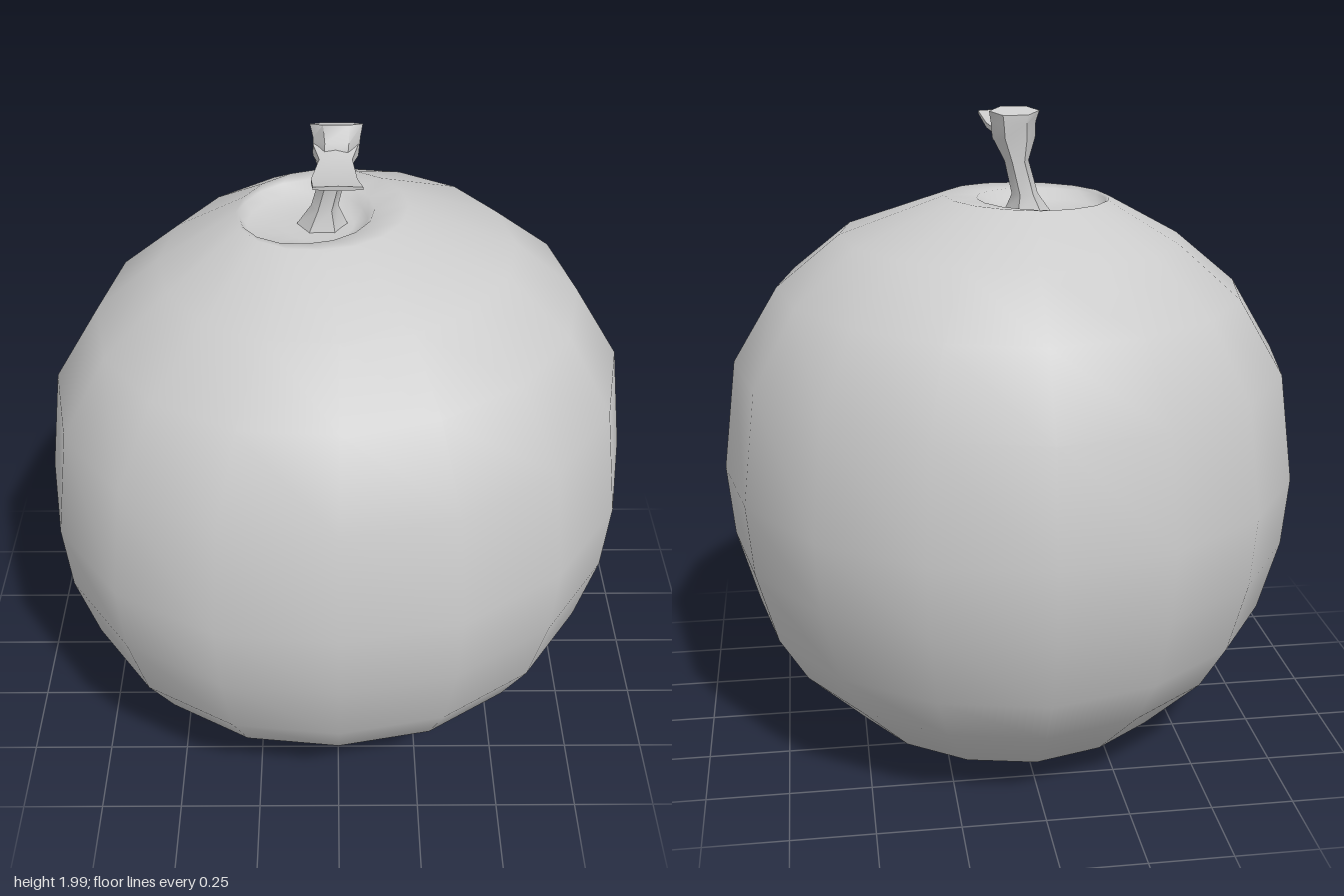
import * as THREE from 'three';
import { mergeVertices, toCreasedNormals } from 'three/addons/utils/BufferGeometryUtils.js';

const grey = new THREE.MeshStandardMaterial({ color: 0xcccccc });

// Sixteen-sided lathe, slightly skewed so the fruit is not perfectly regular
function makeFruit() {
  const profile = [
    [0, 0.01], [0.17, 0.02], [0.54, 0.085], [0.735, 0.28], [0.825, 0.43], [0.89, 0.66],
    [0.91, 0.88], [0.865, 1.22], [0.725, 1.45], [0.53, 1.61], [0.255, 1.732],
    [0.2, 1.722], [0.18, 1.69], [0.1, 1.675], [0, 1.69],
  ].map(([r, y]) => new THREE.Vector2(r, y));
  let geo = new THREE.LatheGeometry(profile, 16);
  geo.deleteAttribute('uv');
  geo.deleteAttribute('normal');
  const p = geo.attributes.position;
  for (let i = 0; i < p.count; i++) {
    const x = p.getX(i), y = p.getY(i), z = p.getZ(i);
    const r = Math.hypot(x, z);
    // the hollow at the top sits off centre
    const shift = y > 1.65 ? (r > 0.22 ? -0.045 : r > 0.15 ? -0.09 : -0.05) : 0;
    p.setXYZ(i, x + shift, y + x * 0.016 * y, z * 1.015 + Math.max(0, -x) * 0.08 - (shift ? 0.02 : 0));
  }
  geo = mergeVertices(geo, 1e-4);
  geo.computeVertexNormals();
  return geo;
}

// Skins a list of closed rings and caps both ends
function loft(rings) {
  const n = rings[0].length, pos = rings.flat(2), idx = [];
  for (let k = 0; k < rings.length - 1; k++) {
    for (let i = 0; i < n; i++) {
      const a = k * n + i, b = k * n + (i + 1) % n;
      idx.push(a, b, b + n, a, b + n, a + n);
    }
  }
  const last = (rings.length - 1) * n;
  for (let i = 1; i < n - 1; i++) idx.push(0, i + 1, i, last, last + i, last + i + 1);
  const geo = new THREE.BufferGeometry();
  geo.setAttribute('position', new THREE.Float32BufferAttribute(pos, 3));
  geo.setIndex(idx);
  return toCreasedNormals(geo, 0.8);
}

// Horizontal six-sided ring; tilt lowers its back edge
const stemRing = ([x, y, z, w, d, tilt = 0]) => Array.from({ length: 6 }, (_, i) => {
  const a = (i + 0.5) / 6 * Math.PI * 2;
  const c = Math.sin(a) / Math.sin(Math.PI / 2), s = Math.cos(a) / Math.cos(Math.PI / 6);
  return [x + c * w, y + s * tilt, z + s * d];
});

// Upright flattened ring across the twig
const twigRing = ([x, y, z, w, h]) => [
  [x - w, y - h * 0.6, z], [x, y - h, z], [x + w, y - h * 0.6, z],
  [x + w, y + h * 0.6, z], [x, y + h, z], [x - w, y + h * 0.6, z],
];

export function createModel() {
  const model = new THREE.Group();
  const add = (name, geo) => {
    const mesh = new THREE.Mesh(geo, grey);
    mesh.name = name;
    model.add(mesh);
  };

  add('fruit', makeFruit());

  // Stem: flared foot, narrow neck, wider leaning top
  add('stem', loft([
    [-0.045, 1.68, -0.02, 0.075, 0.06],
    [-0.037, 1.74, -0.022, 0.04, 0.043],
    [-0.012, 1.84, -0.02, 0.037, 0.043],
    [-0.005, 1.91, -0.01, 0.066, 0.052],
    [-0.002, 1.955, -0.022, 0.068, 0.045],
    [-0.003, 1.99, -0.035, 0.076, 0.032, 0.01],
  ].map(stemRing)));

  // Flat side twig reaching forward
  add('twig', loft([
    [-0.005, 1.92, -0.01, 0.065, 0.03],
    [-0.005, 1.916, 0.06, 0.047, 0.014],
    [-0.01, 1.92, 0.19, 0.064, 0.012],
    [0, 1.95, 0.295, 0.068, 0.007],
  ].map(twigRing)));

  return model;
}
